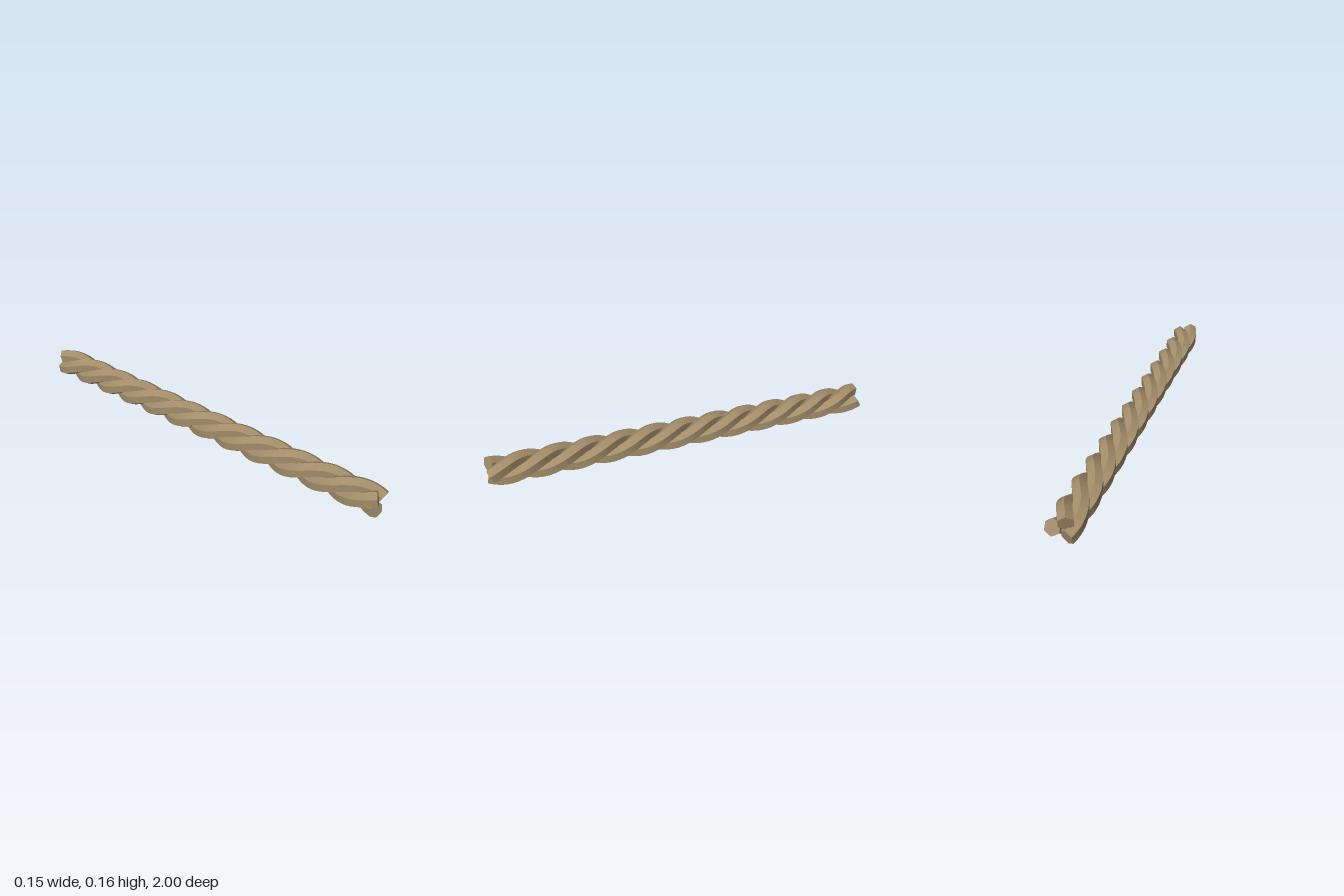
import * as THREE from 'three';

const RADIUS = 0.04;    // distance of strand centres from the rope axis
const THICK = 0.0385;   // corner radius of the hexagonal strand
const HALF = 0.9825;    // half length of the strand centre lines
const TURNS = 4;
const STEPS = 24 * TURNS;
const SIDES = 6;
const AXIS_Y = 0.0785;
const RATE = (TURNS * 2 * Math.PI) / (2 * HALF);

// Hexagonal ring across a left-handed helix, kept upright and square to the path
function ring(phase, z) {
  const a = phase - RATE * (z - HALF);
  const centre = new THREE.Vector3(RADIUS * Math.cos(a), AXIS_Y + RADIUS * Math.sin(a), z);
  const along = new THREE.Vector3(RADIUS * RATE * Math.sin(a), -RADIUS * RATE * Math.cos(a), 1).normalize();
  const side = new THREE.Vector3(0, 1, 0).cross(along).normalize();
  const up = along.clone().cross(side);
  return Array.from({ length: SIDES }, (_, i) => {
    const t = Math.PI / 2 + (i * 2 * Math.PI) / SIDES;
    return centre.clone()
      .addScaledVector(side, THICK * Math.cos(t))
      .addScaledVector(up, THICK * Math.sin(t));
  });
}

// Each side is its own strip: smooth along the strand, sharp at hexagon edges
function strandGeometry(phase) {
  const positions = [], indices = [];
  const add = (p) => positions.push(p.x, p.y, p.z) / 3 - 1;
  const rings = [];
  for (let s = 0; s <= STEPS; s++) rings.push(ring(phase, -HALF + (2 * HALF * s) / STEPS));

  for (let i = 0; i < SIDES; i++) {
    const j = (i + 1) % SIDES;
    rings.forEach((r, s) => {
      const a = add(r[i]), b = add(r[j]);
      if (s > 0) indices.push(a - 2, b - 2, b, a - 2, b, a);
    });
  }

  // Flat cut ends
  const front = rings[STEPS].map(add);
  const back = rings[0].map(add);
  for (let i = 1; i < SIDES - 1; i++) {
    indices.push(front[0], front[i], front[i + 1]);
    indices.push(back[0], back[i + 1], back[i]);
  }

  const geometry = new THREE.BufferGeometry();
  geometry.setAttribute('position', new THREE.Float32BufferAttribute(positions, 3));
  geometry.setIndex(indices);
  geometry.computeVertexNormals();
  return geometry;
}

export function createModel() {
  const rope = new THREE.Group();
  rope.name = 'rope';
  const fibre = new THREE.MeshStandardMaterial({ color: 0xa28c69 });
  fibre.name = 'rope fibre';

  // Three strands twisted around one another
  for (let n = 0; n < 3; n++) {
    const strand = new THREE.Mesh(strandGeometry((n * 2 * Math.PI) / 3), fibre);
    strand.name = `strand${n + 1}`;
    rope.add(strand);
  }
  return rope;
}
